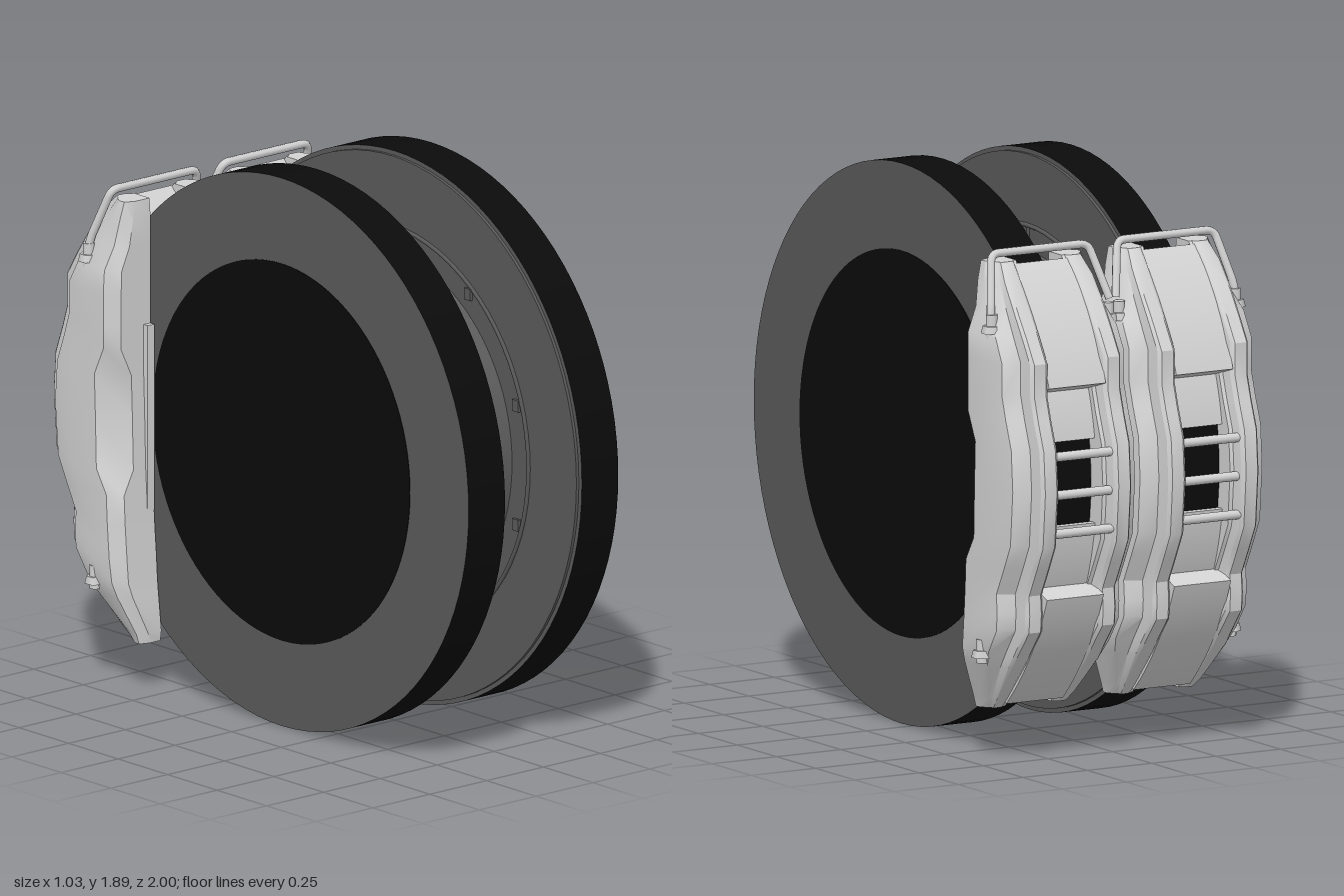
import * as THREE from 'three';
import { toCreasedNormals } from 'three/addons/utils/BufferGeometryUtils.js';

const CY = 0.945, CZ = 0.055, R = 0.945; // disc axis and radius
const CX = 0.247; // middle of each disc and caliper

const silver = new THREE.MeshStandardMaterial({ color: 0xd2d2d2 });
silver.name = 'caliperSilver';
const grey = new THREE.MeshStandardMaterial({ color: 0x5a5a5a });
grey.name = 'discGrey';
const black = new THREE.MeshStandardMaterial({ color: 0x0b0b0b });
black.name = 'rimBlack';

function add(parent, name, geo, mat) {
  const m = new THREE.Mesh(geo, mat);
  m.name = name;
  parent.add(m);
  return m;
}

// Flips a geometry across x = 0 and keeps its faces outward
function mirrored(geo) {
  const g = geo.index ? geo.toNonIndexed() : geo.clone();
  const p = g.attributes.position;
  const a = new THREE.Vector3(), b = new THREE.Vector3();
  for (let i = 0; i < p.count; i++) p.setX(i, -p.getX(i));
  for (let i = 0; i < p.count; i += 3) {
    a.fromBufferAttribute(p, i + 1);
    b.fromBufferAttribute(p, i + 2);
    p.setXYZ(i + 1, b.x, b.y, b.z);
    p.setXYZ(i + 2, a.x, a.y, a.z);
  }
  return toCreasedNormals(g, 0.5);
}

// Joins equal-length rings of points, bottom to top, and closes both ends
function loft(rings) {
  const n = rings[0].length, pos = [];
  const tri = (...v) => v.forEach((q) => pos.push(...q));
  const mid = (ring) => [0, 1, 2].map((c) => ring.reduce((s, q) => s + q[c], 0) / n);
  const last = rings[rings.length - 1], c0 = mid(rings[0]), c1 = mid(last);
  for (let k = 0; k < n; k++) {
    const j = (k + 1) % n;
    for (let i = 0; i < rings.length - 1; i++) {
      const a = rings[i], b = rings[i + 1];
      tri(a[k], a[j], b[j]);
      tri(a[k], b[j], b[k]);
    }
    tri(rings[0][j], rings[0][k], c0);
    tri(last[k], last[j], c1);
  }
  const g = new THREE.BufferGeometry();
  g.setAttribute('position', new THREE.Float32BufferAttribute(pos, 3));
  return toCreasedNormals(g, 0.5);
}

// Caliper half: [height, ridge z, half width, front z, depth of side scoop]
const stations = [
  [0.165, -0.63, 0.17, -0.55, 0], [0.2, -0.67, 0.18, -0.545, 0],
  [0.33, -0.79, 0.235, -0.56, 0], [0.38, -0.83, 0.25, -0.565, 0],
  [0.46, -0.895, 0.252, -0.57, 0], [0.52, -0.9, 0.252, -0.575, 0],
  [0.585, -0.895, 0.252, -0.58, 0], [0.68, -0.945, 0.252, -0.585, 0],
  [0.76, -0.985, 0.252, -0.59, 0.045], [0.945, -1.0, 0.252, -0.595, 0.045],
  [1.085, -0.99, 0.252, -0.6, 0.045], [1.18, -0.955, 0.252, -0.6, 0],
  [1.26, -0.93, 0.252, -0.6, 0], [1.37, -0.93, 0.252, -0.6, 0],
  [1.45, -0.88, 0.25, -0.6, 0], [1.53, -0.825, 0.215, -0.6, 0],
  [1.62, -0.755, 0.2, -0.6, 0], [1.68, -0.7, 0.185, -0.605, 0],
];
function halfSection([y, zr, w, zf, dent]) {
  const f = Math.min(1, (zf - zr) / 0.3);
  return [
    [0.088, y, zf], [w - 0.035 - dent, y, zf], [w, y, zf - 0.05 * f - dent],
    [w, y, zr + 0.17 * f], [w - 0.015, y, zr + 0.09 * f],
    [Math.min(0.182, w - 0.025), y, zr + 0.06 * f],
    [Math.min(0.175, w - 0.03), y, zr + 0.012 * f],
    [Math.min(0.165, w - 0.04), y, zr], [0.12, y, zr],
    [0.108, y, zr + 0.012 * f], [0.1, y, zr + 0.045 * f], [0.088, y, zr + 0.05 * f],
  ];
}

// Curved plate wrapped round the disc edge, angles in degrees from the back
function sector(r0, r1, a0, a1, width) {
  const t0 = THREE.MathUtils.degToRad(a0), t1 = THREE.MathUtils.degToRad(a1);
  const s = new THREE.Shape();
  s.absarc(-CZ, CY, r1, t0, t1, false);
  s.absarc(-CZ, CY, r0, t1, t0, true);
  const g = new THREE.ExtrudeGeometry(s, { depth: width, bevelEnabled: false, curveSegments: 16 });
  g.translate(0, 0, -width / 2).rotateY(Math.PI / 2);
  return toCreasedNormals(g, 0.5);
}

function axle(r0, r1, length, open = false) {
  return new THREE.CylinderGeometry(r1, r0, length, 96, 1, open).rotateZ(-Math.PI / 2);
}

function makeDisc(side) {
  const g = new THREE.Group();
  g.name = side > 0 ? 'leftDisc' : 'rightDisc';
  g.position.set(0, CY, CZ);
  const at = (name, geo, mat, x) => { add(g, name, geo, mat).position.x = side * x; };
  at('discRim', axle(R, R, 0.16), [black, grey, grey], 0.249);
  at('hubFace', axle(0.65, 0.65, 0.006), black, 0.328);
  at('innerPlate', axle(0.93, 0.93, 0.012), grey, 0.164);
  at('innerRing', new THREE.TorusGeometry(0.69, 0.008, 6, 72).rotateY(Math.PI / 2), grey, 0.157);
  // Sloping half of the hub between the discs
  at('hubCone', side > 0 ? axle(0.54, 0.605, 0.158, true) : axle(0.605, 0.54, 0.158, true), grey, 0.079);
  for (let i = 0; i < 10; i++) {
    const a = ((i + 0.5) / 10) * Math.PI * 2;
    const tab = add(g, 'hubTab', new THREE.BoxGeometry(0.014, 0.04, 0.03), grey);
    tab.position.set(side * 0.154, 0.665 * Math.sin(a), 0.665 * Math.cos(a));
  }
  return g;
}

function makeCaliper(side) {
  const g = new THREE.Group();
  g.name = side > 0 ? 'leftCaliper' : 'rightCaliper';
  g.position.x = side * CX;
  // Two mirrored halves either side of the disc
  const half = loft(stations.map(halfSection));
  add(g, 'outerHalf', side > 0 ? half : mirrored(half), silver);
  add(g, 'innerHalf', side > 0 ? mirrored(half) : half, silver);
  // Bridges over the disc edge and the ledges of the window
  add(g, 'upperBridge', sector(0.955, 1.045, 19, 44, 0.22), silver);
  add(g, 'lowerBridge', sector(0.955, 1.045, -47, -21, 0.22), silver);
  add(g, 'upperLedge', sector(0.948, 0.965, 9, 20, 0.19), silver);
  add(g, 'lowerLedge', sector(0.948, 0.965, -22, -8, 0.19), silver);
  // Cross pins in the window
  for (const y of [0.8, 0.93, 1.06]) {
    const pin = add(g, 'padPin', new THREE.CylinderGeometry(0.016, 0.016, 0.24, 12).rotateZ(Math.PI / 2), silver);
    pin.position.set(0, y, -0.965);
  }
  // Brake pads
  for (const s of [-1, 1]) {
    const pad = add(g, 'brakePad', new THREE.BoxGeometry(0.03, 0.64, 0.2), silver);
    pad.position.set(s * 0.103, 0.93, -0.68);
  }
  // Fluid pipe over the top
  const path = new THREE.CurvePath();
  const pts = [[0.23, 1.47, -0.755], [0.225, 1.53, -0.75], [0.185, 1.71, -0.685], [-0.19, 1.71, -0.685], [-0.235, 1.53, -0.75]]
    .map(([x, y, z]) => new THREE.Vector3(side * x, y, z));
  let from = pts[0];
  for (let i = 1; i < pts.length - 1; i++) {
    const a = pts[i].clone().lerp(pts[i - 1], 0.03 / pts[i].distanceTo(pts[i - 1]));
    const b = pts[i].clone().lerp(pts[i + 1], 0.03 / pts[i].distanceTo(pts[i + 1]));
    path.add(new THREE.LineCurve3(from, a));
    path.add(new THREE.QuadraticBezierCurve3(a, pts[i], b));
    from = b;
  }
  path.add(new THREE.LineCurve3(from, pts[pts.length - 1]));
  add(g, 'fluidPipe', new THREE.TubeGeometry(path, 80, 0.014, 8, false), silver);
  // Pipe nuts and lower bleed screw
  const nut = (name, x, y, z) => {
    add(g, name, new THREE.CylinderGeometry(0.03, 0.036, 0.025, 6), silver).position.set(side * x, y, z);
    add(g, name + 'Neck', new THREE.CylinderGeometry(0.02, 0.02, 0.08, 10), silver).position.set(side * x, y + 0.01, z);
  };
  nut('outerPipeNut', 0.225, 1.47, -0.755);
  nut('innerPipeNut', -0.225, 1.47, -0.755);
  nut('bleedScrew', 0.235, 0.37, -0.71);
  return g;
}

export function createModel() {
  const model = new THREE.Group();
  model.name = 'twinDiscBrake';
  for (const side of [1, -1]) model.add(makeDisc(side), makeCaliper(side));
  return model;
}
